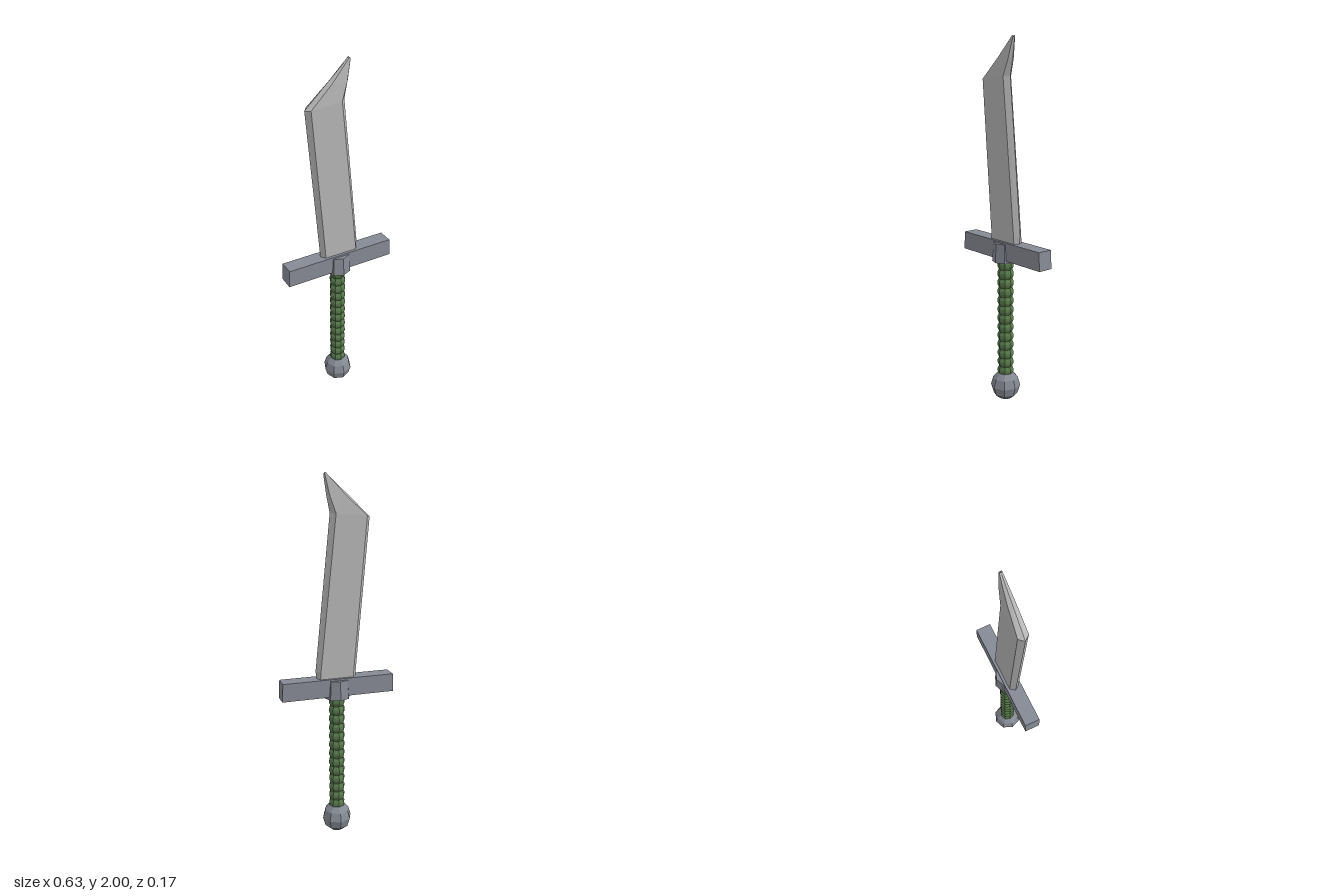
import * as THREE from 'three';

const flat = (name, color) => new THREE.MeshStandardMaterial({ name, color, flatShading: true });

// Eight-sided turned part from [radius, y] pairs, with corners on the x and z axes
function turned(name, profile, material) {
  const points = profile.map(([r, y]) => new THREE.Vector2(r, y));
  const mesh = new THREE.Mesh(new THREE.LatheGeometry(points, 8), material);
  mesh.name = name;
  return mesh;
}

// Six-sided blade lofted through sections: back edge, two flat borders, cutting edge, half thickness
function bladeGeometry(sections) {
  const rings = sections.map(([back, a, b, edge, t]) => [
    [...back, 0], [...a, t], [...b, t], [...edge, 0], [...b, -t], [...a, -t],
  ]);
  const pos = [];
  const tri = (a, b, c) => pos.push(...a, ...b, ...c);
  for (let i = 0; i < rings.length - 1; i++) {
    for (let j = 0; j < 6; j++) {
      const k = (j + 1) % 6, low = rings[i], high = rings[i + 1];
      tri(low[j], low[k], high[k]);
      tri(low[j], high[k], high[j]);
    }
  }
  const first = rings[0], last = rings[rings.length - 1];
  for (let j = 1; j < 5; j++) {
    tri(first[0], first[j + 1], first[j]);
    tri(last[0], last[j], last[j + 1]);
  }
  const geometry = new THREE.BufferGeometry();
  geometry.setAttribute('position', new THREE.Float32BufferAttribute(pos, 3));
  geometry.computeVertexNormals();
  return geometry;
}

export function createModel() {
  const group = new THREE.Group();
  group.name = 'sword';
  const steel = flat('blade steel', 0xb5b5b5);
  const iron = flat('dark iron', 0x868a94);
  const wrap = flat('green wrap', 0x587a4c);

  // Leaning blade with a swept, hooked tip
  const blade = new THREE.Mesh(bladeGeometry([
    [[-0.105, 0.92], [-0.085, 0.92], [0.1, 0.92], [0.112, 0.92], 0.027],
    [[-0.109, 0.97], [-0.088, 0.97], [0.097, 0.97], [0.12, 0.97], 0.027],
    [[-0.177, 1.78], [-0.155, 1.785], [0.012, 1.8], [0.038, 1.8], 0.027],
    [[-0.048, 1.9], [-0.036, 1.895], [0.042, 1.885], [0.056, 1.89], 0.019],
    [[0.056, 1.996], [0.061, 2], [0.066, 1.995], [0.07, 1.985], 0.007],
  ]), steel);
  blade.name = 'blade';
  group.add(blade);

  // Crossguard bar, slightly wider at the bottom
  const bar = new THREE.Shape([
    [-0.315, 0.83], [0.315, 0.83], [0.31, 0.93], [-0.31, 0.93],
  ].map(([x, y]) => new THREE.Vector2(x, y)));
  const guardGeometry = new THREE.ExtrudeGeometry(bar, { depth: 0.084, bevelEnabled: false });
  guardGeometry.translate(0, 0, -0.042);
  const guard = new THREE.Mesh(guardGeometry, iron);
  guard.name = 'crossguard';
  group.add(guard);

  // Collar around the guard
  group.add(turned('collar', [[0, 0.815], [0.073, 0.815], [0.066, 0.92], [0, 0.92]], iron));

  // Ribbed grip
  const ribs = 13, bottom = 0.15, top = 0.82, step = (top - bottom) / ribs;
  const grip = [[0.037, bottom]];
  for (let i = 0; i < ribs; i++) {
    const y = bottom + i * step;
    grip.push([0.045, y + step * 0.35], [0.045, y + step * 0.65], [0.037, y + step]);
  }
  group.add(turned('grip', grip, wrap));

  // Faceted pommel
  group.add(turned('pommel', [
    [0, 0.004], [0.035, 0.008], [0.068, 0.035], [0.083, 0.085], [0.07, 0.132], [0.044, 0.162], [0, 0.162],
  ], iron));

  return group;
}
